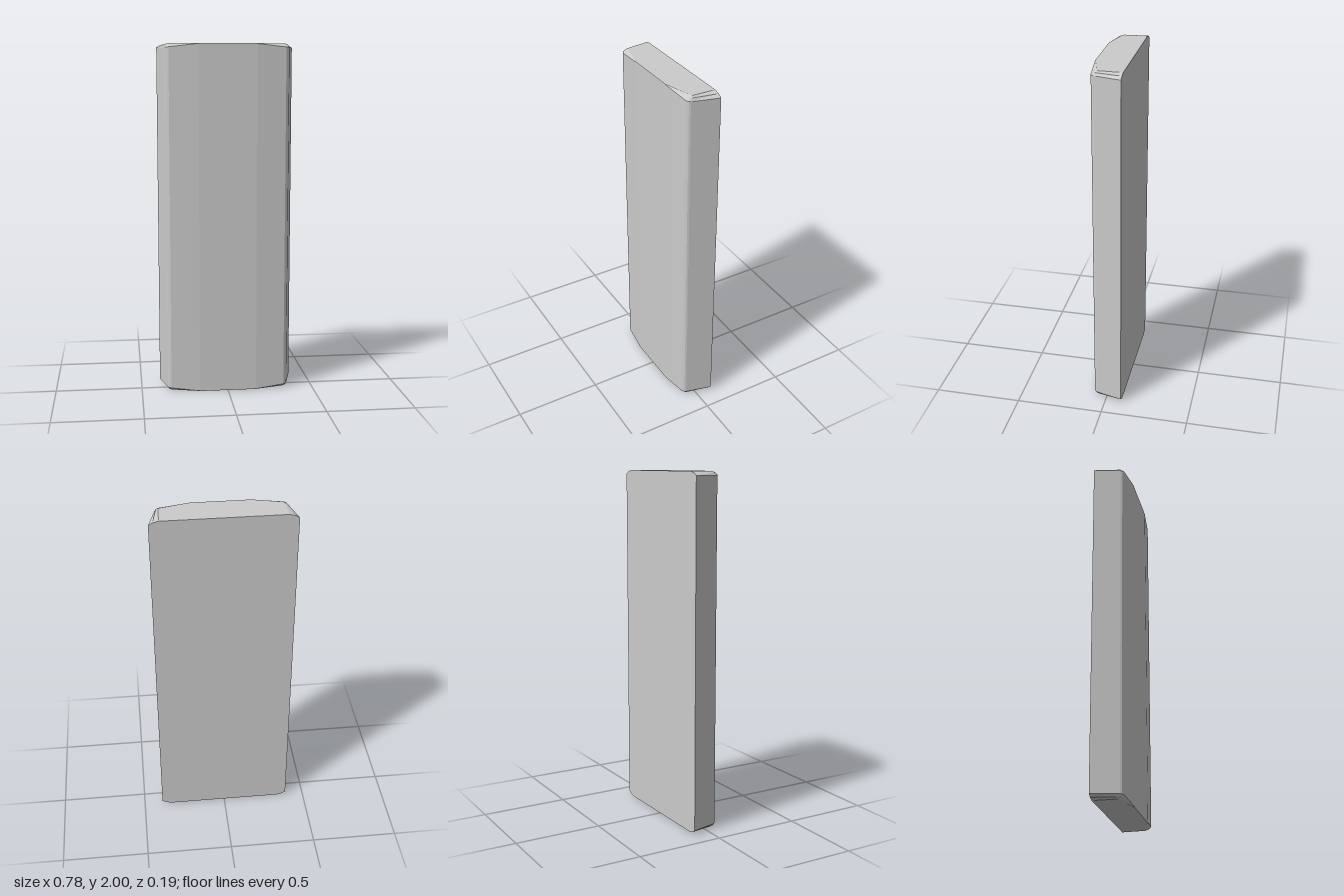
import * as THREE from 'three';

// Half cross-sections from back to front: [x, z, distance below the end plane]
const outer = [[0.39, -0.093, 0.022], [0.35, 0.058, 0.022], [0.345, 0.067, 0.022], [0.33, 0.076, 0.02], [0.165, 0.092, 0.002]];
const middle = [[0.367, -0.093, 0.008], [0.342, 0.052, 0.008], [0.338, 0.058, 0.008], [0.327, 0.064, 0.007], [0.163, 0.0915, 0.001]];
const inner = [[0.335, -0.093, 0], [0.332, 0.036, 0], [0.331, 0.041, 0], [0.325, 0.046, 0], [0.16, 0.091, 0]];

const HEIGHT = 2;

// Mirrors a half section into a full ring at the top or bottom end
function ring(half, top) {
  const place = ([x, z, drop], side) => [x * side, top ? HEIGHT - drop : drop, z];
  return [...half.map((p) => place(p, 1)), ...[...half].reverse().map((p) => place(p, -1))];
}

function loft(rings) {
  const n = rings[0].length;
  const index = [];
  for (let r = 0; r < rings.length - 1; r++) {
    for (let i = 0; i < n; i++) {
      const a = r * n + i, b = r * n + (i + 1) % n;
      index.push(a, a + n, b, b, a + n, b + n);
    }
  }
  // End caps
  const last = (rings.length - 1) * n;
  for (let i = 1; i < n - 1; i++) {
    index.push(0, i, i + 1, last, last + i + 1, last + i);
  }
  const geometry = new THREE.BufferGeometry();
  geometry.setAttribute('position', new THREE.Float32BufferAttribute(rings.flat(2), 3));
  geometry.setIndex(index);
  return geometry;
}

export function createModel() {
  const group = new THREE.Group();
  group.name = 'slab';

  // Tall tapered slab with eased front corners and softened ends
  const geometry = loft([
    ring(inner, false), ring(middle, false), ring(outer, false),
    ring(outer, true), ring(middle, true), ring(inner, true),
  ]);
  // Turn the faces outward: the rings run clockwise seen from above
  const idx = geometry.index.array;
  const p = geometry.attributes.position;
  let volume = 0;
  const [a, b, c] = [new THREE.Vector3(), new THREE.Vector3(), new THREE.Vector3()];
  for (let i = 0; i < idx.length; i += 3) {
    a.fromBufferAttribute(p, idx[i]);
    b.fromBufferAttribute(p, idx[i + 1]);
    c.fromBufferAttribute(p, idx[i + 2]);
    volume += a.dot(b.cross(c));
  }
  if (volume < 0) geometry.index.array.reverse();

  const flat = geometry.toNonIndexed();
  flat.computeVertexNormals();
  const body = new THREE.Mesh(flat, new THREE.MeshStandardMaterial({ color: 0xcccccc, flatShading: true }));
  body.name = 'slabBody';
  group.add(body);
  return group;
}
